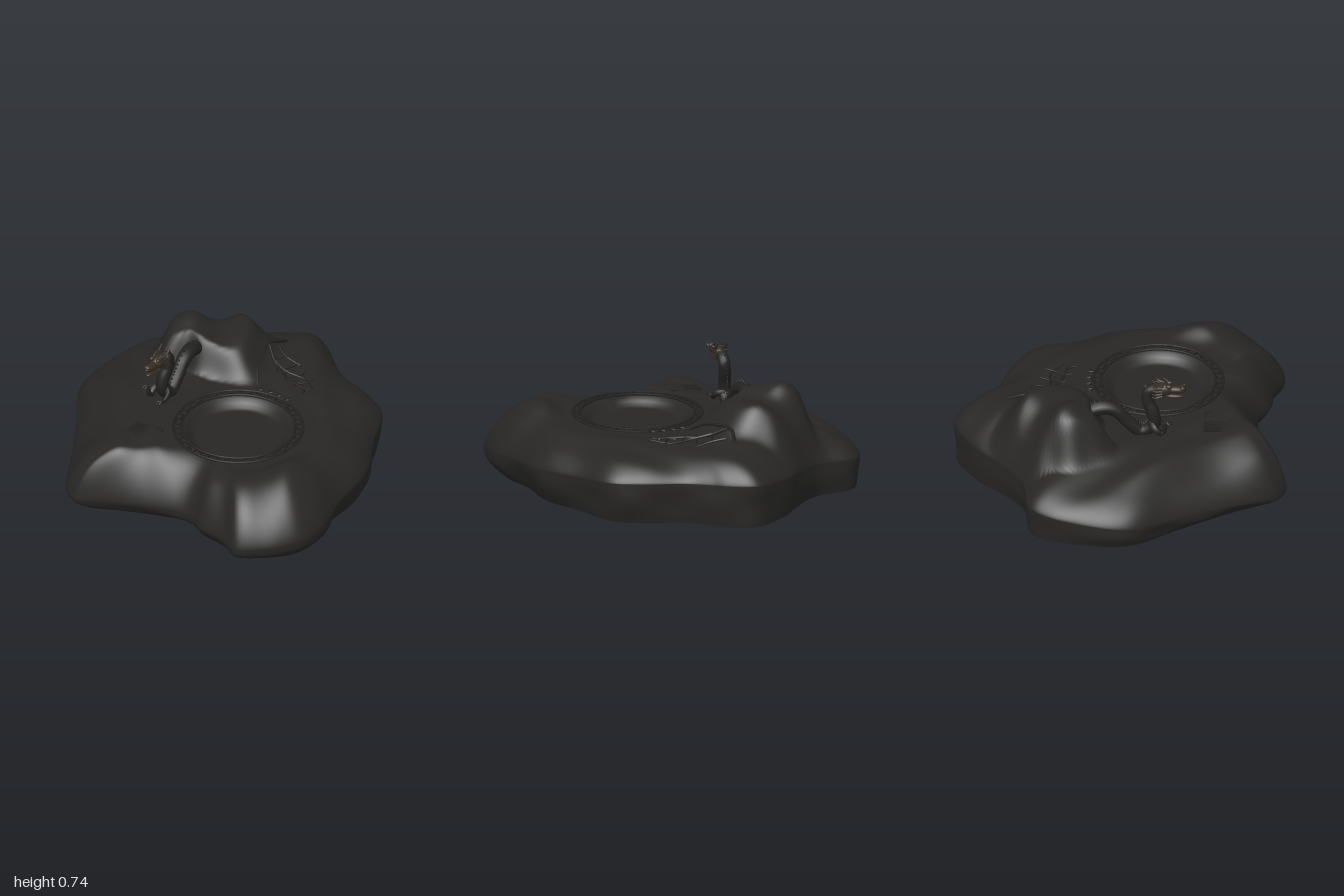
import * as THREE from 'three';
import { mergeGeometries } from 'three/addons/utils/BufferGeometryUtils.js';

const V = (x, y, z) => new THREE.Vector3(x, y, z);
const stone = new THREE.MeshStandardMaterial({ color: 0x272625 });
const carving = new THREE.MeshStandardMaterial({ color: 0x222120 });
const bronze = new THREE.MeshStandardMaterial({ color: 0x352c22 });
const BASIN = { x: 0.2, z: 0.185, r: 0.325, rim: 0.37 };

const { smoothstep, lerp } = THREE.MathUtils;
const bump = (x, z, cx, cz, r) => Math.exp(-((x - cx) ** 2 + (z - cz) ** 2) / (r * r));

// Broad steep-sided mound, cut back at the front where the dragon emerges
function mound(x, z) {
  const dx = x + 0.42, dz = z + 0.32, a = Math.atan2(dz, dx);
  const front = lerp(0.34, 0.24, smoothstep(x, -0.52, -0.38));
  const wobble = 1 + 0.04 * Math.sin(3 * a + 0.6) + 0.03 * Math.sin(7 * a);
  const d = Math.hypot(dx / (dx < 0 ? 0.28 : 0.45), dz / (dz < 0 ? 0.39 : front)) / wobble;
  const crown = 0.185 + 0.065 * bump(x, z, -0.52, -0.27, 0.13) - 0.05 * smoothstep(x, -0.3, -0.02);
  return (1 - smoothstep(d, 0.58, 1.06)) * (crown + 0.012 * Math.sin(17 * x + 4) * Math.sin(13 * z));
}

// Height of the upper surface, with the mound, shoulder swells and basin
function height(x, z) {
  const r = Math.hypot(x - BASIN.x, z - BASIN.z);
  const away = smoothstep(r, 0.39, 0.55);
  let y = 0.38 - 0.07 * smoothstep(-x, 0.4, 0.85) + mound(x, z);
  y += away * (0.05 * bump(x, z, 0.76, 0.4, 0.28) + 0.025 * bump(x, z, -0.1, -0.65, 0.25)
    - 0.035 * bump(x, z, -0.6, 0.6, 0.25));
  y += away * 0.006 * (Math.sin(9 * x + 5 * z) + Math.sin(13 * z - 6 * x + 1) + Math.sin(21 * x - 17 * z));
  return y - 0.055 * (1 - smoothstep(r, 0.25, BASIN.r));
}

const OUTLINE = [[-.12, -.96], [.03, -.9], [.12, -.83], [.24, -.75], [.47, -.68], [.64, -.59], [.75, -.37], [.9, -.1],
  [.935, .19], [.99, .41], [.98, .6], [.92, .7], [.83, .79], [.7, .87], [.58, .83], [.4, .81], [.31, .76], [.22, .75],
  [.03, .8], [-.19, .88], [-.38, .96], [-.42, .945], [-.49, .9], [-.64, .65], [-.83, .35], [-.97, .15], [-1, .02],
  [-.985, -.2], [-.95, -.36], [-.88, -.47], [-.64, -.53], [-.48, -.67], [-.37, -.8], [-.27, -.88]];

// Rock slab: spokes from the basin centre, rows rising up the side and then running inward
function rock() {
  const N = 220, SIDE = 12, TOP = 54, BOWL = 18;
  const edge = new THREE.CatmullRomCurve3(OUTLINE.map(([x, z]) => V(x, 0, z)), true).getPoints(N).slice(0, N);
  const pos = [], index = [], base = [];
  const rows = SIDE + TOP + BOWL + 1;
  for (let j = 0; j < rows; j++) for (const p of edge) {
    const R = Math.hypot(p.x - BASIN.x, p.z - BASIN.z);
    const along = r => [BASIN.x + (p.x - BASIN.x) * r / R, BASIN.z + (p.z - BASIN.z) * r / R];
    const yMid = 0.165 - 0.09 * p.z + 0.03 * p.x;
    if (j < SIDE) {
      const u = j / SIDE, inset = Math.max(0.02, 0.05 + 0.035 * p.z + 0.02 * p.x);
      const ripple = 0.01 * Math.sin(u * Math.PI) ** 2 * Math.sin(11 * p.x + 7 * p.z);
      const [x, z] = along(R - inset * (1 - u) ** 2 + ripple);
      pos.push(x, yMid * u, z);
      if (j === 0) base.push(new THREE.Vector2(x, z));
    } else {
      const k = j - SIDE;
      const r = k <= TOP ? R - (R - BASIN.rim) * (k / TOP) ** 1.6 : BASIN.rim * (1 - (k - TOP) / BOWL);
      const [x, z] = along(r);
      const f = (1 - Math.max(0, 1 - (R - r) / 0.33) ** 2.2) ** 0.75;
      pos.push(x, yMid + (height(x, z) - yMid) * f, z);
    }
  }
  for (let j = 0; j < rows - 1; j++) for (let i = 0; i < N; i++) {
    const n = (i + 1) % N, a = j * N + i, b = j * N + n, c = b + N, d = a + N;
    index.push(a, d, c, a, c, b);
  }
  const body = new THREE.BufferGeometry();
  body.setAttribute('position', new THREE.Float32BufferAttribute(pos, 3));
  body.setIndex(index);
  body.computeVertexNormals();
  return { body, under: new THREE.ShapeGeometry(new THREE.Shape(base)).rotateX(Math.PI / 2) };
}

// Tube along points whose radius runs from r0 to r1
function taper(points, r0, r1, seg = 10, sides = 7) {
  const curve = new THREE.CatmullRomCurve3(points);
  const g = new THREE.TubeGeometry(curve, seg, 1, sides);
  const p = g.attributes.position, v = V();
  for (let i = 0; i < p.count; i++) {
    const t = Math.floor(i / (sides + 1)) / seg, c = curve.getPointAt(t);
    v.fromBufferAttribute(p, i).sub(c).multiplyScalar(r0 + (r1 - r0) * t).add(c);
    p.setXYZ(i, v.x, v.y, v.z);
  }
  g.computeVertexNormals();
  return g;
}
const onRock = (x, z, lift = 0.003) => V(x, height(x, z) + lift, z);

export function createModel() {
  const model = new THREE.Group();
  const add = (name, geo, mat, parent = model) => {
    const m = new THREE.Mesh(Array.isArray(geo) ? mergeGeometries(geo) : geo, mat);
    m.name = name;
    parent.add(m);
    return m;
  };

  const { body, under } = rock();
  add('rockSlab', body, stone);
  add('rockUnderside', under, stone);

  // Carved fret ring around the basin
  const rim = [BASIN.r, BASIN.rim].map(r => new THREE.TorusGeometry(r, 0.007, 6, 96).rotateX(Math.PI / 2));
  const frets = 44;
  for (let i = 0; i < frets; i++) {
    const place = (g, r, shift) => rim.push(g.translate(r, 0, 0).rotateY((i + shift) / frets * Math.PI * 2));
    place(new THREE.BoxGeometry(0.03, 0.012, 0.007), 0.348, 0);
    place(new THREE.BoxGeometry(0.007, 0.012, 0.026), i % 2 ? 0.358 : 0.337, 0.4);
  }
  add('basinRing', rim, carving).position.set(BASIN.x, 0.383, BASIN.z);

  // Small leaf crests behind the ring
  const crests = [];
  for (const a of [-0.28, -0.12, 0.04, 0.2]) for (const s of [-1, 0, 1]) {
    const x = BASIN.x - 0.02 + Math.sin(a) * 0.38, z = BASIN.z - Math.cos(a) * 0.38;
    crests.push(taper([onRock(x, z), onRock(x + s * 0.016, z - 0.015, 0.008), onRock(x + s * 0.02, z - 0.035 + 0.015 * Math.abs(s))], 0.007, 0.002, 5, 5));
  }
  add('ringCrests', crests, carving);

  // Square panel with a plain lattice, laid along the slope
  const panel = [new THREE.BoxGeometry(0.18, 0.02, 0.19)];
  for (let i = 0; i < 9; i++) {
    const o = (i / 8 - 0.5) * 0.17, w = i % 8 ? 0.008 : 0.014;
    panel.push(new THREE.BoxGeometry(0.184, 0.01, w).translate(0, 0.01, o * 1.06), new THREE.BoxGeometry(w, 0.01, 0.194).translate(o, 0.01, 0));
  }
  const panelMesh = add('latticePanel', panel, carving);
  panelMesh.position.copy(onRock(-0.2, 0.57, -0.014));
  panelMesh.rotation.set(0.1, 0.06, 0.03);

  // Branch lying on the rock, with twigs forking alternately
  const twigs = [
    taper([onRock(-.09, -.65), onRock(-.11, -.52), onRock(-.07, -.4), onRock(-.03, -.3), onRock(.03, -.22)], 0.012, 0.006, 20),
    taper([onRock(-.1, -.5), onRock(.02, -.42), onRock(.15, -.36), onRock(.3, -.34)], 0.01, 0.004, 16),
    taper([onRock(-.07, -.56), onRock(0, -.53), onRock(.1, -.53)], 0.009, 0.003),
    taper([onRock(-.04, -.45), onRock(.08, -.42), onRock(.22, -.43), onRock(.32, -.36)], 0.009, 0.003)];
  for (let i = 0; i < 8; i++) {
    const x = -0.04 + i * 0.042, z = -0.46 + i * 0.013, s = i % 2 ? 1 : -1;
    twigs.push(taper([onRock(x, z + 0.02), onRock(x + 0.03, z + s * 0.035 + 0.01), onRock(x + 0.045, z + s * 0.08, 0.008)], 0.007, 0.003, 6, 5));
  }
  add('branch', twigs, carving);

  // Dragon: arched back, dip into the rock and raised neck
  const dragon = new THREE.Group();
  dragon.name = 'dragon';
  model.add(dragon);
  const path = [V(-.36, .48, -.24), V(-.35, .54, -.1), V(-.34, .525, -.02), V(-.335, .44, .06), V(-.33, .385, .13), V(-.33, .44, .2),
    V(-.33, .51, .195), V(-.32, .58, .165), V(-.315, .635, .165), V(-.315, .665, .21)];
  add('dragonBody', taper(path, 0.045, 0.034, 70, 12), carving, dragon);
  const spine = new THREE.CatmullRomCurve3(path), spikes = [];
  for (let i = 0; i < 32; i++) {
    const t = 0.08 + i * 0.028, n = spine.getTangentAt(t).cross(V(1, 0, 0)).normalize();
    const q = new THREE.Quaternion().setFromUnitVectors(V(0, 1, 0), n);
    const c = spine.getPointAt(t).addScaledVector(n, 0.044 - 0.01 * t);
    spikes.push(new THREE.ConeGeometry(0.012, 0.026, 5).applyQuaternion(q).translate(c.x, c.y, c.z));
  }
  add('backSpikes', spikes, carving, dragon);

  // Forelegs with three claws each
  const legs = [];
  for (const s of [-1, 1]) {
    const x = -0.33 + s * 0.05, y = s < 0 ? 0.465 : 0.4, z = 0.27;
    legs.push(taper([V(-.33, .45, .18), V(x, .43, .21), V(x, .4, .25), V(x, y, z)], 0.024, 0.012));
    for (const k of [-1, 0, 1]) legs.push(taper([V(x, y, z), V(x + k * 0.014, y + 0.008, z + 0.012), V(x + k * 0.018, y - 0.002, z + 0.028)], 0.008, 0.002, 5, 5));
  }
  add('forelegs', legs, carving, dragon);

  // Head: skull, snout, open jaw, brows, horns, mane, whiskers
  const ball = (x, y, z, a, b, c) => new THREE.SphereGeometry(1, 14, 10).scale(a, b, c).translate(x, y, z);
  const parts = [ball(0, 0, 0, 0.036, 0.04, 0.055), ball(0, 0, 0.07, 0.026, 0.022, 0.058), ball(0, 0.014, 0.108, 0.024, 0.014, 0.018),
    ball(0, -0.042, 0.06, 0.02, 0.013, 0.055)];
  for (const s of [-1, 1]) {
    parts.push(ball(s * 0.022, 0.03, 0.03, 0.014, 0.012, 0.02),
      taper([V(s * .02, .03, 0), V(s * .03, .045, -.04), V(s * .028, .075, -.065)], 0.011, 0.004),
      taper([V(s * .018, .03, .03), V(s * .022, .05, .01), V(s * .024, .062, -.01)], 0.008, 0.002),
      taper([V(s * .02, .01, .105), V(s * .03, .02, .118), V(s * .026, .035, .118)], 0.005, 0.002));
    for (let i = 0; i < 4; i++) parts.push(taper([V(s * .028, .015 - i * .016, -.01), V(s * .038, .018 - i * .02, -.035), V(s * .034, .03 - i * .024, -.065)], 0.011, 0.002, 6, 5));
    for (let i = 0; i < 4; i++) parts.push(new THREE.ConeGeometry(0.004, 0.018, 5).rotateX(Math.PI).translate(s * 0.016, -0.022, 0.06 + i * 0.014));
  }
  add('dragonHead', parts, bronze, dragon).position.set(-0.315, 0.66, 0.255);

  return model;
}
